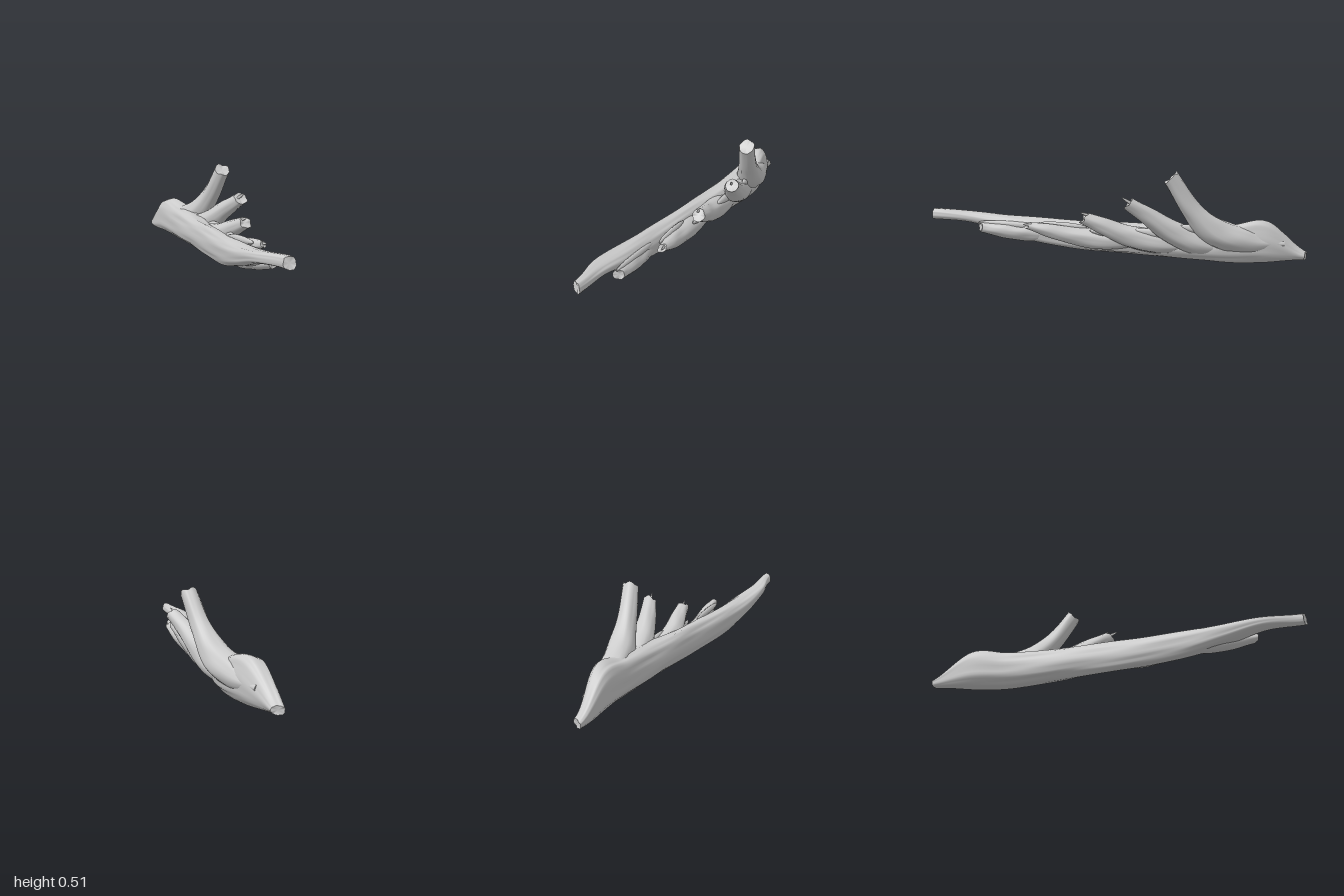
import * as THREE from 'three';

const wood = new THREE.MeshStandardMaterial({ color: 0xcccccc, side: THREE.DoubleSide });
const V = (x, y, z) => new THREE.Vector3(x, y, z);

// Smooth interpolation through a list of equally spaced values
function sample(list, t) {
  const f = t * (list.length - 1), i = Math.min(Math.floor(f), list.length - 2), k = f - i;
  const p = (n) => list[Math.max(0, Math.min(list.length - 1, n))];
  const [a, b, c, d] = [p(i - 1), p(i), p(i + 1), p(i + 2)];
  return b + 0.5 * k * (c - a + k * (2 * a - 5 * b + 4 * c - d + k * (3 * (b - c) + d - a)));
}

// Lengthwise bark ridges that wander slowly along the wood
function bark(a, t, seed) {
  return 1 + 0.025 * Math.sin(5 * a + 5 * t + seed) + 0.02 * Math.sin(9 * a - 7 * t + 2 * seed)
    + 0.015 * Math.sin(3 * a + 19 * t + seed) + 0.01 * Math.sin(14 * a + 11 * t);
}

// Uneven broken rim
const jag = (a, seed) => 0.65 * Math.sin(a + seed) + 0.25 * Math.sin(3 * a + 2 * seed) + 0.2 * Math.sin(5 * a);

function geometryFrom(points, index) {
  const g = new THREE.BufferGeometry().setFromPoints(points);
  g.setIndex(index);
  g.computeVertexNormals();
  return g;
}

// Skin over a row of rings, with separate, slightly sunken broken ends
function loft(name, rings, sink) {
  const group = new THREE.Group(), n = rings[0].length, index = [];
  group.name = name;
  for (let i = 0; i < rings.length - 1; i++) {
    for (let j = 0; j < n; j++) {
      const a = i * n + j, b = i * n + (j + 1) % n;
      index.push(a, b, a + n, b, b + n, a + n);
    }
  }
  const skin = new THREE.Mesh(geometryFrom(rings.flat(), index), wood);
  skin.name = name + 'Bark';
  group.add(skin);
  const mid = (r) => r.reduce((s, p) => s.add(p), V(0, 0, 0)).divideScalar(n);
  [[rings[0], rings[1], true], [rings.at(-1), rings.at(-2), false]].forEach(([ring, inner, flip]) => {
    const centre = mid(ring);
    centre.addScaledVector(mid(inner).sub(centre).normalize(), sink);
    const tri = [];
    for (let j = 0; j < n; j++) {
      const k = (j + 1) % n;
      tri.push(n, flip ? k : j, flip ? j : k);
    }
    const cap = new THREE.Mesh(geometryFrom([...ring, centre], tri), wood);
    cap.name = name + 'BrokenEnd';
    group.add(cap);
  });
  return group;
}

// Main limb: tall oval section, evenly spaced from z = -1 to z = 1
function trunk() {
  const left = [-0.308, -0.255, -0.185, -0.132, -0.085, -0.038, 0.0, 0.038, 0.08, 0.142, 0.25];
  const right = [-0.245, -0.12, -0.025, 0.01, 0.035, 0.065, 0.105, 0.15, 0.2, 0.243, 0.306];
  const low = [0.008, 0.003, 0.004, 0.014, 0.028, 0.038, 0.052, 0.08, 0.132, 0.195, 0.217];
  const high = [0.05, 0.222, 0.205, 0.2, 0.2, 0.205, 0.212, 0.222, 0.236, 0.256, 0.278];
  const rings = [], steps = 90, sides = 48;
  for (let i = 0; i <= steps; i++) {
    const t = i / steps, ring = [];
    const [l, r, b, h] = [left, right, low, high].map((v) => sample(v, t));
    const end = Math.max(0, 1 - Math.min(t, 1 - t) * 12);
    for (let j = 0; j < sides; j++) {
      const a = j / sides * Math.PI * 2, c = Math.cos(a), s = Math.sin(a);
      const k = bark(a, t * 1.5, 1);
      const x = (l + r) / 2 + (r - l) / 2 * Math.sign(c) * Math.abs(c) ** 0.82 * k;
      const y = (b + h) / 2 + (h - b) / 2 * Math.sign(s) * Math.abs(s) ** 0.82 * k;
      ring.push(V(x, Math.max(0, y), -0.992 + 1.984 * t + 0.008 * end * jag(a, 2)));
    }
    rings.push(ring);
  }
  return loft('trunk', rings, 0.006);
}

// Side branch swept along a curve, tapering away inside the trunk it grows from
function branch(name, path, radii, seed, rough) {
  const curve = new THREE.CatmullRomCurve3(path.map((p) => V(...p)));
  const rings = [], steps = 36, sides = 28;
  for (let i = 0; i <= steps; i++) {
    const t = i / steps, p = curve.getPoint(t), dir = curve.getTangent(t);
    const side = V(0, 1, 0).cross(dir).normalize(), up = dir.clone().cross(side);
    const r = sample(radii, t), end = Math.max(0, (t - 0.88) / 0.12), ring = [];
    for (let j = 0; j < sides; j++) {
      const a = j / sides * Math.PI * 2, k = r * bark(a, t, seed);
      ring.push(p.clone().addScaledVector(side, Math.cos(a) * k).addScaledVector(up, Math.sin(a) * k)
        .addScaledVector(dir, rough * end * jag(a, seed)));
    }
    rings.push(ring);
  }
  return loft(name, rings, 0.008);
}

// Thin torn sliver, pointed at both ends
function splinter(from, to, width) {
  const a = V(...from), b = V(...to);
  const mesh = new THREE.Mesh(new THREE.SphereGeometry(1, 8, 8).rotateX(Math.PI / 2), wood);
  mesh.name = 'splinter';
  mesh.scale.set(width * 0.7, width, a.distanceTo(b) / 2);
  mesh.position.copy(a).add(b).multiplyScalar(0.5);
  mesh.lookAt(b);
  return mesh;
}

export function createModel() {
  const model = new THREE.Group();
  model.name = 'brokenBranch';
  model.add(trunk());

  // Branches from the thick end towards the thin tip
  model.add(
    branch('tallBranch', [[-0.2, 0.1, -0.88], [-0.115, 0.12, -0.68], [-0.025, 0.18, -0.53],
      [0.045, 0.3, -0.425], [0.112, 0.475, -0.33]], [0.02, 0.072, 0.076, 0.053, 0.043], 1, 0.016),
    branch('secondBranch', [[-0.12, 0.09, -0.68], [-0.045, 0.105, -0.47], [0.045, 0.175, -0.32],
      [0.125, 0.265, -0.21], [0.198, 0.338, -0.122]], [0.02, 0.066, 0.062, 0.047, 0.036], 2, 0.02),
    branch('thirdBranch', [[-0.06, 0.1, -0.48], [0.0, 0.107, -0.25], [0.08, 0.15, -0.07],
      [0.145, 0.205, 0.04], [0.195, 0.25, 0.13]], [0.02, 0.062, 0.056, 0.045, 0.034], 3, 0.02),
    branch('fourthBranch', [[0.02, 0.11, -0.18], [0.07, 0.115, 0.06], [0.138, 0.14, 0.22],
      [0.2, 0.175, 0.34], [0.246, 0.203, 0.44]], [0.02, 0.054, 0.047, 0.036, 0.02], 4, 0.02),
    branch('stub', [[0.08, 0.135, 0.3], [0.13, 0.142, 0.47], [0.192, 0.158, 0.6],
      [0.248, 0.178, 0.725]], [0.02, 0.046, 0.042, 0.027], 5, 0.016),
  );

  // Torn fibres bridging the forks and beside the breaks
  [
    [[0.1, 0.25, -0.25], [0.215, 0.372, -0.09], 0.011],
    [[0.08, 0.19, -0.06], [0.2, 0.28, 0.15], 0.012],
    [[0.12, 0.15, 0.16], [0.262, 0.21, 0.46], 0.014],
    [[0.1, 0.185, 0.15], [0.2, 0.205, 0.42], 0.02],
    [[0.14, 0.18, 0.4], [0.248, 0.205, 0.74], 0.02],
    [[-0.08, 0.15, -0.65], [0.06, 0.21, -0.36], 0.028],
    [[-0.02, 0.13, -0.42], [0.09, 0.18, -0.12], 0.028],
    [[0.02, 0.13, -0.2], [0.14, 0.175, 0.12], 0.026],
  ].forEach((s) => model.add(splinter(...s)));
  return model;
}
